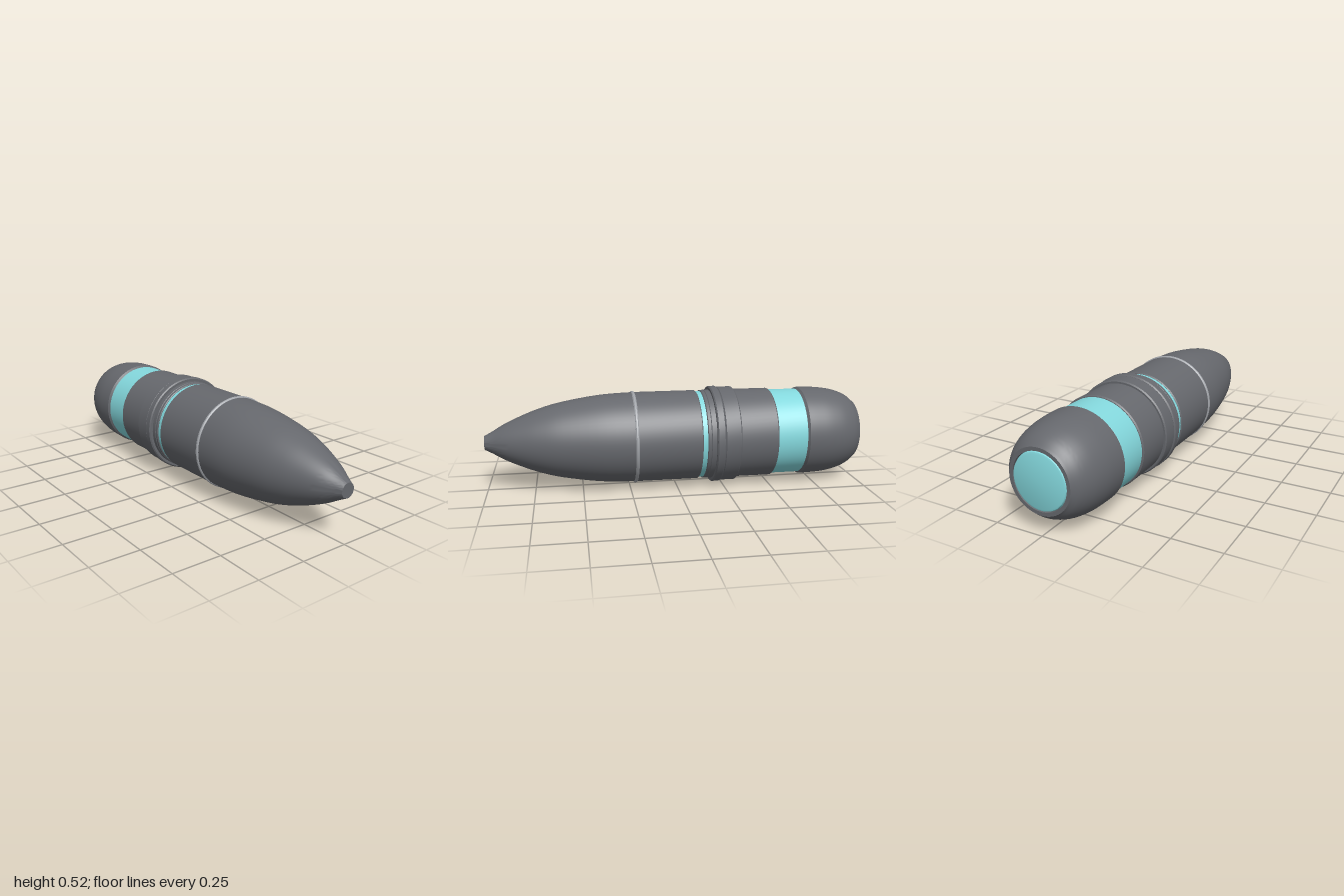
import * as THREE from 'three';
import { toCreasedNormals } from 'three/addons/utils/BufferGeometryUtils.js';

const AXIS_HEIGHT = 0.26;
const SEGMENTS = 64;

const mat = (name, color) => {
  const m = new THREE.MeshStandardMaterial({ color });
  m.name = name;
  return m;
};

// Solid of revolution along z; profile is [z, radius] pairs from back to front
function turned(name, profile, material) {
  const points = profile.map(([z, r]) => new THREE.Vector2(r, z));
  const geometry = toCreasedNormals(new THREE.LatheGeometry(points, SEGMENTS), 0.5);
  geometry.rotateX(Math.PI / 2);
  const mesh = new THREE.Mesh(geometry, material);
  mesh.name = name;
  return mesh;
}

// Closed band with small bevelled edges
const band = (name, back, front, radius, bevel, material) => turned(name, [
  [back, 0], [back, radius - bevel], [back + bevel, radius],
  [front - bevel, radius], [front, radius - bevel], [front, 0],
], material);

export function createModel() {
  const gunmetal = mat('gunmetal', 0x66686d);
  const cyan = mat('cyan', 0x84d8dd);
  const silver = mat('silver', 0xa0a3a8);

  const model = new THREE.Group();
  model.name = 'projectile';
  const body = new THREE.Group();
  body.name = 'body';
  body.position.y = AXIS_HEIGHT;
  model.add(body);

  // Ogive nose, rounded smoothly through a few stations
  const ogive = new THREE.SplineCurve([
    [0.22, 0.24], [0.4, 0.231], [0.6, 0.2], [0.72, 0.168], [0.82, 0.13],
    [0.9, 0.093], [0.96, 0.058], [1, 0.037],
  ].map(([z, r]) => new THREE.Vector2(z, r))).getPoints(32).map((p) => [p.x, p.y]);
  body.add(turned('nose', [...ogive, [1, 0]], gunmetal));

  // Rounded tail with a shallow recess at the back
  const tail = new THREE.SplineCurve([
    [-0.99, 0.165], [-0.965, 0.187], [-0.93, 0.206], [-0.88, 0.223],
    [-0.81, 0.235], [-0.74, 0.239], [-0.69, 0.24],
  ].map(([z, r]) => new THREE.Vector2(z, r))).getPoints(24).map((p) => [p.x, p.y]);
  body.add(turned('tail', [
    [-0.985, 0], [-0.985, 0.14], [-0.997, 0.142], [-0.997, 0.16],
    ...tail, [-0.682, 0.233], [-0.676, 0.228], [-0.676, 0],
  ], gunmetal));
  body.add(turned('tailLight', [
    [-1, 0], [-1, 0.128], [-0.997, 0.136], [-0.985, 0.141],
  ], cyan));

  // Bands along the body, from front to back
  body.add(band('silverRing', 0.213, 0.231, 0.246, 0.005, silver));
  body.add(band('frontBody', -0.117, 0.222, 0.24, 0.005, gunmetal));
  body.add(band('thinGlowRing', -0.143, -0.115, 0.234, 0.002, cyan));
  body.add(band('thinCollar', -0.163, -0.141, 0.24, 0.004, gunmetal));
  body.add(band('neck', -0.2, -0.16, 0.241, 0.003, gunmetal));
  body.add(band('collarLip', -0.232, -0.188, 0.26, 0.006, gunmetal));
  body.add(band('collar', -0.318, -0.23, 0.255, 0.006, gunmetal));
  body.add(band('rearBody', -0.52, -0.31, 0.24, 0.006, gunmetal));
  body.add(band('wideGlowBand', -0.68, -0.515, 0.231, 0.003, cyan));

  return model;
}
